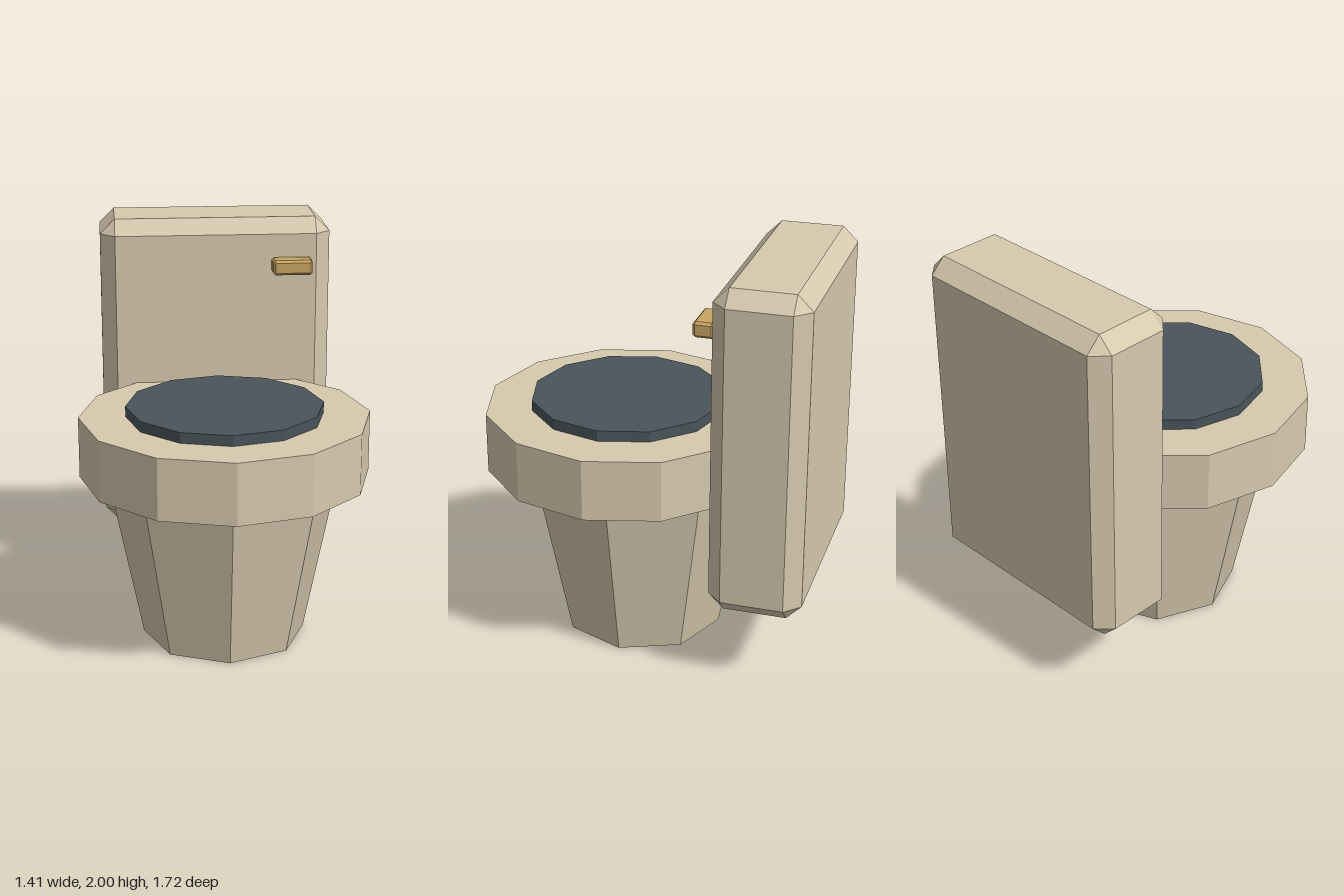
import * as THREE from 'three';
import { ConvexGeometry } from 'three/addons/geometries/ConvexGeometry.js';

const material = (name, color) => {
  const m = new THREE.MeshStandardMaterial({ color, flatShading: true });
  m.name = name;
  return m;
};

// Box with every edge cut by a flat bevel
function chamferBox(w, h, d, bevel) {
  const half = [w / 2, h / 2, d / 2];
  const points = [];
  for (const sx of [-1, 1]) for (const sy of [-1, 1]) for (const sz of [-1, 1]) {
    for (let axis = 0; axis < 3; axis++) {
      const [x, y, z] = half.map((s, i) => (i === axis ? s : s - bevel));
      points.push(new THREE.Vector3(sx * x, sy * y, sz * z));
    }
  }
  return new ConvexGeometry(points);
}

export function createModel() {
  const cream = material('cream ceramic', 0xd6c9ae);
  const slate = material('slate lid', 0x49545a);
  const brass = material('brass', 0xc9a562);
  const model = new THREE.Group();
  model.name = 'toilet';

  const add = (name, geometry, mat, x, y, z) => {
    const mesh = new THREE.Mesh(geometry, mat);
    mesh.name = name;
    mesh.position.set(x, y, z);
    model.add(mesh);
  };

  // Tapered eight-sided foot
  add('pedestal', new THREE.CylinderGeometry(0.58, 0.405, 0.87, 8), cream, 0, 0.435, 0.08);
  // Twelve-sided bowl and the disc on it
  add('bowl', new THREE.CylinderGeometry(0.707, 0.707, 0.302, 12), cream, 0, 1.014, 0.15);
  add('seatDisc', new THREE.CylinderGeometry(0.48, 0.48, 0.1, 12), slate, 0, 1.167, 0.15);
  // Upright tank with its flush lever
  add('tank', chamferBox(1.16, 1.615, 0.453, 0.074), cream, 0, 1.1925, -0.632);
  add('flushLever', chamferBox(0.2, 0.075, 0.1, 0.012), brass, 0.378, 1.773, -0.355);

  return model;
}
